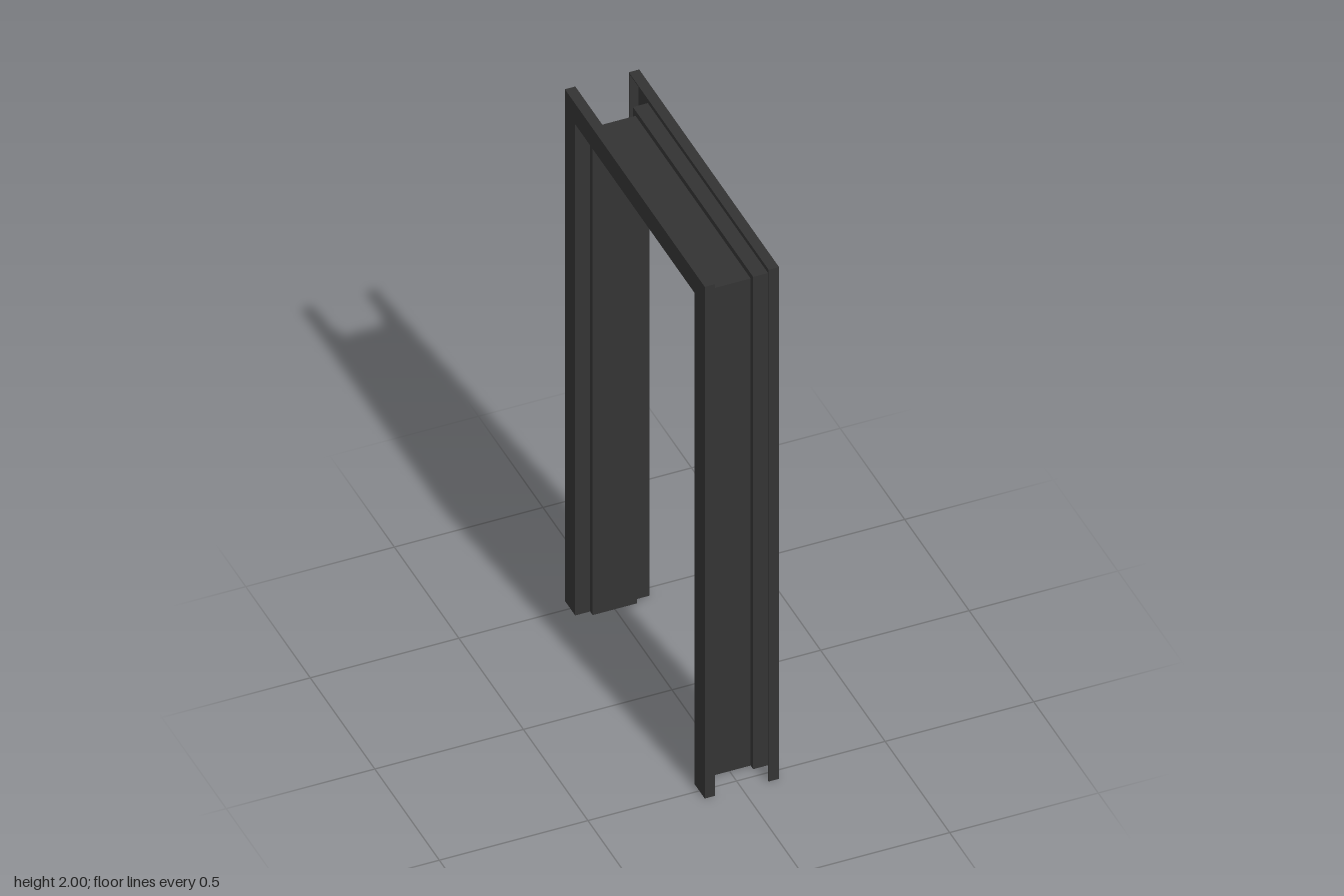
import * as THREE from 'three';

const OPEN_Z = 0.442; // half width of the clear opening
const OPEN_Y = 1.9;   // height of the clear opening
const SHEET = 0.004;  // sheet thickness

// Half of the folded section as [x, distance outward from the opening]:
// return lip, face, rabbet, stop
const outerHalf = [[0.09, 0.1], [0.125, 0.1], [0.125, 0.02], [0.075, 0.02], [0.075, 0]];
const innerHalf = [
  [0.09, 0.1 - SHEET], [0.125 - SHEET, 0.1 - SHEET], [0.125 - SHEET, 0.02 + SHEET],
  [0.075 - SHEET, 0.02 + SHEET], [0.075 - SHEET, SHEET],
];
const mirrored = (half) => [...half, ...half.slice().reverse().map(([x, d]) => [-x, d])];
const outer = mirrored(outerHalf);
const inner = mirrored(innerHalf);
const section = [...outer, ...inner.slice().reverse()];

// Stations along the frame; the two upper ones are mitred corners
const stations = [
  ([x, d]) => [x, 0, OPEN_Z + d],
  ([x, d]) => [x, OPEN_Y + d, OPEN_Z + d],
  ([x, d]) => [x, OPEN_Y + d, -OPEN_Z - d],
  ([x, d]) => [x, 0, -OPEN_Z - d],
];

function sweep(from, to, cap) {
  const positions = [];
  const quad = (a, b, c, d) => positions.push(...a, ...b, ...c, ...a, ...c, ...d);
  const n = section.length;

  // Folded walls
  for (let i = 0; i < n; i++) {
    const p = section[i], q = section[(i + 1) % n];
    quad(from(p), from(q), to(q), to(p));
  }

  // Cut edge of the sheet at the floor
  for (let i = 0; cap && i < outer.length - 1; i++) {
    const ring = [outer[i], inner[i], inner[i + 1], outer[i + 1]];
    if (cap === 'start') quad(...ring.map(from));
    else quad(...ring.reverse().map(to));
  }

  const geometry = new THREE.BufferGeometry();
  geometry.setAttribute('position', new THREE.Float32BufferAttribute(positions, 3));
  geometry.computeVertexNormals();
  return geometry;
}

export function createModel() {
  const group = new THREE.Group();
  group.name = 'doorFrame';
  const material = new THREE.MeshStandardMaterial({ color: 0x333333, side: THREE.DoubleSide });

  const parts = [['frontJamb', 'start'], ['head', null], ['backJamb', 'end']];
  parts.forEach(([name, cap], i) => {
    const mesh = new THREE.Mesh(sweep(stations[i], stations[i + 1], cap), material);
    mesh.name = name;
    group.add(mesh);
  });
  return group;
}
